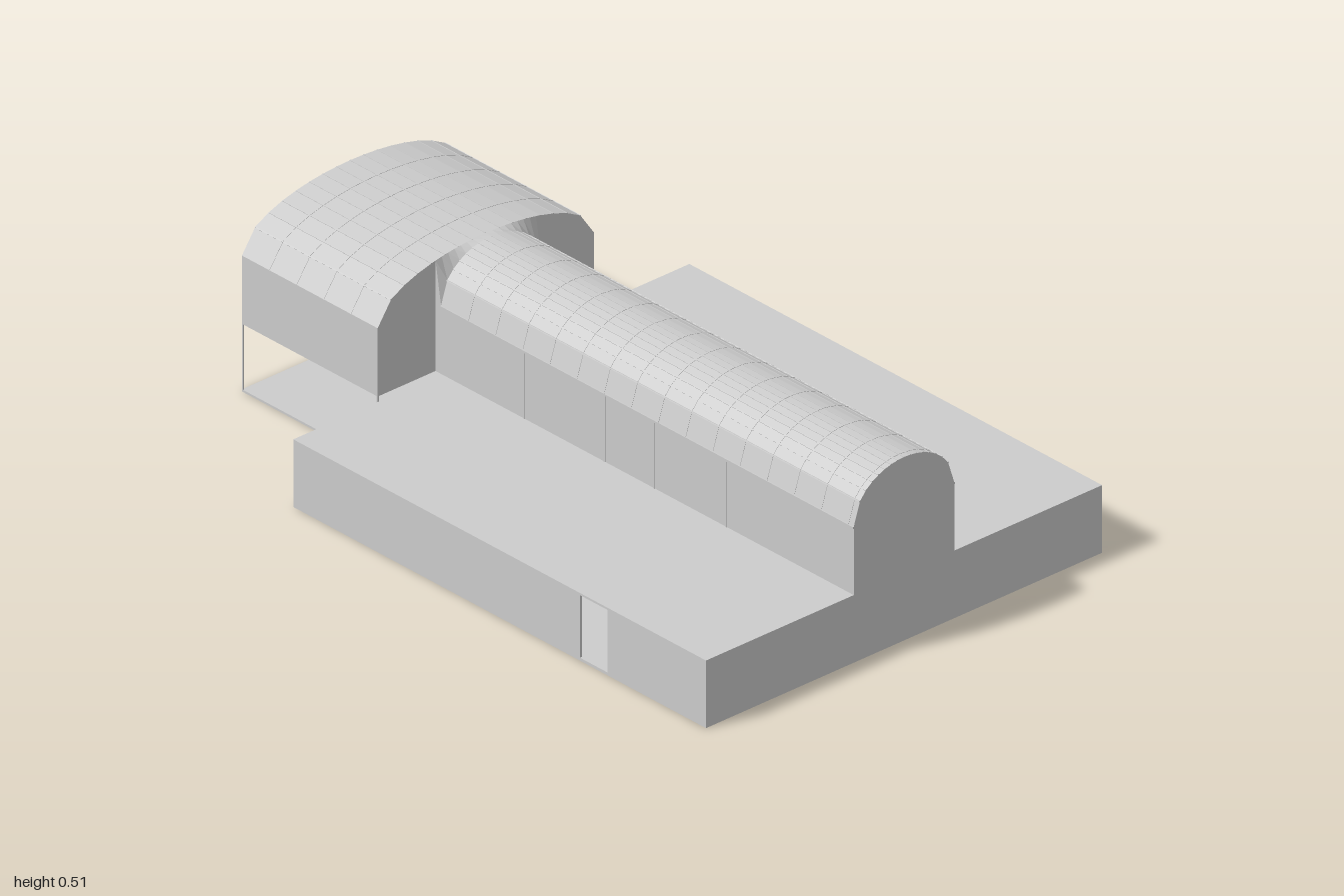
import * as THREE from 'three';

const SEG = 16;
const SPRING = 0.378, RISE = 0.132, DECK = 0.188;
const HALL = 0.165, PAV = 0.355;
const archY = (x, hw, rise = RISE) => SPRING + rise * Math.sqrt(Math.max(0, 1 - (x / hw) ** 2));

// points of an arch from -hw to hw, evenly spaced across the width
function archPoints(hw, rise = RISE) {
  return Array.from({ length: SEG + 1 }, (_, i) => {
    const x = -hw + (2 * hw * i) / SEG;
    return new THREE.Vector2(x, archY(x, hw, rise));
  });
}

export function createModel() {
  const model = new THREE.Group();
  model.name = 'vaultedHallBuilding';
  const concrete = new THREE.MeshStandardMaterial({ color: 0xcccccc });
  concrete.name = 'lightGrey';
  concrete.side = THREE.DoubleSide;

  function add(parent, name, geometry) {
    const mesh = new THREE.Mesh(geometry, concrete);
    mesh.name = name;
    parent.add(mesh);
    return mesh;
  }
  function group(name) {
    const g = new THREE.Group();
    g.name = name;
    model.add(g);
    return g;
  }
  // box given by its limits
  function block(parent, name, x0, x1, y0, y1, z0, z1) {
    const m = add(parent, name, new THREE.BoxGeometry(x1 - x0, y1 - y0, z1 - z0));
    m.position.set((x0 + x1) / 2, (y0 + y1) / 2, (z0 + z1) / 2);
    return m;
  }
  function slab(parent, name, points, z0, z1) {
    const geo = new THREE.ExtrudeGeometry(new THREE.Shape(points), { depth: z1 - z0, bevelEnabled: false });
    geo.translate(0, 0, z0);
    return add(parent, name, geo);
  }
  // curved strip of the given thickness, lifted above the arch line
  function vault(parent, name, hw, lift, thick, z0, z1) {
    const outer = archPoints(hw + lift, RISE + lift);
    const inner = archPoints(hw + lift - thick, RISE + lift - thick).reverse();
    return slab(parent, name, [...outer, ...inner], z0, z1);
  }
  // vaulted roof with cross ribs and lengthwise purlins
  function ribbedRoof(parent, hw, z0, z1, spacing) {
    vault(parent, 'roofShell', hw, 0, 0.004, z0, z1);
    for (let z = z0 + spacing; z < z1 - 0.02; z += spacing) {
      vault(parent, 'roofRib', hw, 0.001, 0.008, z - 0.002, z + 0.002);
    }
    const pts = archPoints(hw);
    for (let i = 1; i < SEG; i++) {
      const bar = add(parent, 'purlin', new THREE.BoxGeometry(0.003, 0.006, z1 - z0));
      bar.position.set(pts[i].x, pts[i].y - 0.002, (z0 + z1) / 2);
      bar.rotation.z = Math.atan2(pts[i + 1].y - pts[i - 1].y, pts[i + 1].x - pts[i - 1].x);
    }
  }

  // hollow lower storey with a through doorway and an open slot below the hall
  const base = group('lowerStorey');
  block(base, 'baseFloor', -0.65, 0.65, 0, 0.006, -0.49, 1);
  block(base, 'frontWall', -0.65, 0.65, 0, DECK, 0.994, 1);
  for (const s of [-1, 1]) {
    const side = new THREE.Shape([[-0.49, 0], [0.994, 0], [0.994, DECK], [-0.49, DECK]].map(p => new THREE.Vector2(...p)));
    side.holes.push(new THREE.Path([[0.545, 0.008], [0.545, 0.182], [0.645, 0.182], [0.645, 0.008]].map(p => new THREE.Vector2(...p))));
    const geo = new THREE.ExtrudeGeometry(side, { depth: 0.006, bevelEnabled: false });
    geo.rotateY(-Math.PI / 2);
    geo.translate(s > 0 ? 0.65 : -0.644, 0, 0);
    add(base, 'sideWall', geo);
    const xs = [s * HALL, s * 0.65].sort((a, b) => a - b);
    block(base, 'roofDeck', xs[0], xs[1], DECK - 0.006, DECK, -0.49, 1);
    block(base, 'backWall', xs[0], xs[1], 0, DECK, -0.49, -0.484);
  }

  // long vaulted hall
  const hall = group('hall');
  ribbedRoof(hall, HALL, -0.49, 1, 0.098);
  slab(hall, 'frontGable', [new THREE.Vector2(-HALL, DECK), ...archPoints(HALL), new THREE.Vector2(HALL, DECK)], 0.994, 1);
  for (const s of [-1, 1]) {
    const wall = block(hall, 'hallWall', -0.003, 0.003, DECK - 0.006, SPRING, -0.49, 1);
    wall.position.x = s * (HALL - 0.003);
    const eave = block(hall, 'eave', -0.002, 0.002, SPRING - 0.006, SPRING, -0.49, 1);
    eave.position.x = s * (HALL + 0.001);
    for (const z of [0.54, 0.28, 0.1, -0.19]) {
      const strip = block(hall, 'wallJoint', -0.001, 0.001, DECK, SPRING, z - 0.003, z + 0.003);
      strip.position.x = s * (HALL + 0.0005);
    }
  }

  // neck: a skin stretched from the hall arch to the wider pavilion arch
  const neck = group('neck');
  const near = [[-HALL, DECK], ...archPoints(HALL).map(p => [p.x, p.y]), [HALL, DECK]];
  const positions = [], index = [];
  near.forEach(([x, y], i) => {
    const end = i === 0 || i === near.length - 1;
    positions.push(x, y, -0.49, x, end ? y : archY(x, PAV), -0.51);
    if (i > 0) {
      const a = 2 * i - 2;
      index.push(a, a + 2, a + 1, a + 1, a + 2, a + 3);
    }
  });
  const skin = new THREE.BufferGeometry();
  skin.setAttribute('position', new THREE.Float32BufferAttribute(positions, 3));
  skin.setIndex(index);
  const flatSkin = skin.toNonIndexed();
  flatSkin.computeVertexNormals();
  add(neck, 'neckSkin', flatSkin);
  block(neck, 'neckFloor', -HALL, HALL, 0, 0.006, -0.51, -0.49);

  // raised pavilion, open underneath, on thin corner posts
  const pavilion = group('pavilion');
  ribbedRoof(pavilion, PAV, -1, -0.51, 0.098);
  block(pavilion, 'pavilionFloor', -PAV, PAV, 0, 0.006, -1, -0.51);
  slab(pavilion, 'backGable', [new THREE.Vector2(-PAV, DECK), ...archPoints(PAV), new THREE.Vector2(PAV, DECK)], -1, -0.994);
  for (const s of [-1, 1]) {
    const wall = block(pavilion, 'pavilionWall', -0.003, 0.003, DECK, SPRING, -1, -0.51);
    wall.position.x = s * (PAV - 0.003);
    const top = archPoints(PAV).filter(p => p.x > HALL);
    const half = [new THREE.Vector2(HALL, DECK), new THREE.Vector2(HALL, archY(HALL, PAV)), ...top, new THREE.Vector2(PAV, DECK)];
    slab(pavilion, 'frontGableHalf', half.map(p => new THREE.Vector2(s * p.x, p.y)), -0.516, -0.51);
    for (const z of [-0.998, -0.512]) {
      const post = block(pavilion, 'cornerPost', -0.002, 0.002, 0, DECK, z - 0.002, z + 0.002);
      post.position.x = s * (PAV - 0.002);
    }
  }
  return model;
}
